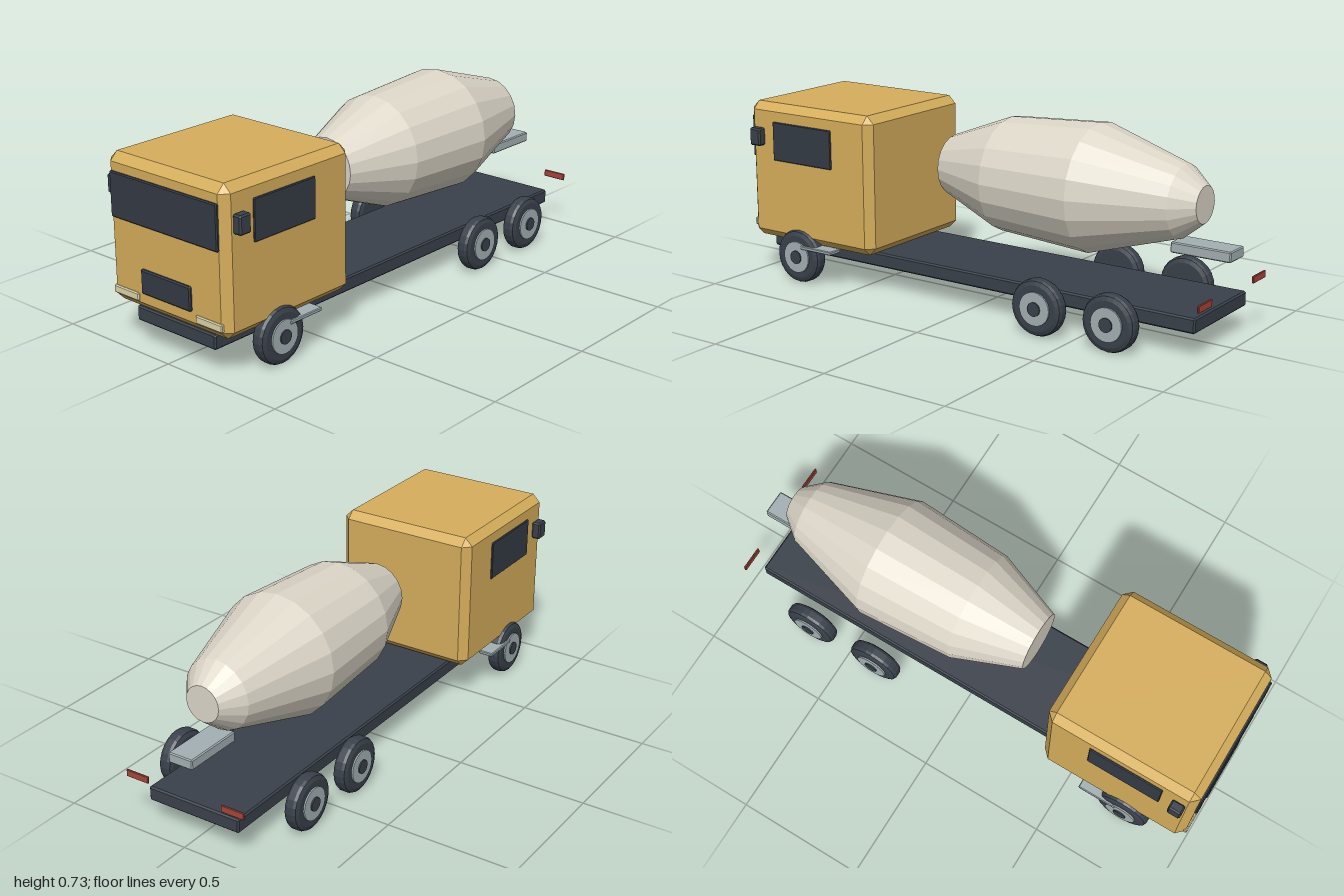
import * as THREE from 'three';
import { ConvexGeometry } from 'three/addons/geometries/ConvexGeometry.js';

const paint = (name, color) => {
  const m = new THREE.MeshStandardMaterial({ color });
  m.name = name;
  return m;
};

export function createModel() {
  const yellow = paint('cab yellow', 0xd6ae5c);
  const dark = paint('dark grey', 0x3a414b);
  const glass = paint('glass', 0x343b45);
  const cream = paint('drum cream', 0xdcd6c8);
  const steel = paint('steel', 0xa3b0b3);
  const lamp = paint('headlight', 0xddd5a8);
  const red = paint('tail light red', 0xa8453a);

  const truck = new THREE.Group();
  truck.name = 'mixerTruck';

  const add = (name, geometry, material, parent = truck) => {
    const mesh = new THREE.Mesh(geometry, material);
    mesh.name = name;
    parent.add(mesh);
    return mesh;
  };

  // Box with chamfered edges, given by its min and max on each axis
  const block = (name, material, [x0, x1], [y0, y1], [z0, z1], c) => {
    const h = [(x1 - x0) / 2, (y1 - y0) / 2, (z1 - z0) / 2];
    const points = [];
    for (const sx of [-1, 1]) for (const sy of [-1, 1]) for (const sz of [-1, 1])
      for (let axis = 0; axis < 3; axis++) {
        const [x, y, z] = h.map((v, i) => (i === axis ? v : v - c));
        points.push(new THREE.Vector3(sx * x, sy * y, sz * z));
      }
    const mesh = add(name, new ConvexGeometry(points), material);
    mesh.position.set((x0 + x1) / 2, (y0 + y1) / 2, (z0 + z1) / 2);
    return mesh;
  };

  // Same block on both sides of the truck
  const pair = (name, material, [x0, x1], y, z, c) => {
    block(name + 'Left', material, [x0, x1], y, z, c);
    block(name + 'Right', material, [-x1, -x0], y, z, c);
  };

  // Faceted turned solid about the y axis, from [radius, y] points
  const turned = (profile, sides) => {
    const g = new THREE.LatheGeometry(profile.map(p => new THREE.Vector2(...p)), sides).toNonIndexed();
    g.computeVertexNormals();
    return g;
  };

  // Chassis and cab
  block('chassis', dark, [-0.192, 0.192], [0.094, 0.15], [-0.945, 0.96], 0.006);
  block('cab', yellow, [-0.285, 0.285], [0.157, 0.697], [0.385, 0.99], 0.03);

  // Cab fittings
  block('windshield', glass, [-0.256, 0.256], [0.471, 0.635], [0.982, 0.999], 0.004);
  block('grille', glass, [-0.12, 0.12], [0.225, 0.315], [0.982, 1], 0.005);
  pair('headlight', lamp, [0.139, 0.264], [0.19, 0.22], [0.982, 0.997], 0.004);
  pair('sideWindow', glass, [0.277, 0.291], [0.475, 0.627], [0.57, 0.862], 0.003);
  pair('mirror', dark, [0.284, 0.321], [0.53, 0.599], [0.904, 0.956], 0.006);
  pair('step', steel, [0.25, 0.31], [0.142, 0.156], [0.565, 0.72], 0.003);

  // Mixing drum, lying along z
  const drum = turned([[0, -0.87], [0.068, -0.87], [0.132, -0.79], [0.238, -0.445],
    [0.215, -0.065], [0.115, 0.195], [0, 0.195]], 20);
  drum.rotateX(Math.PI / 2);
  add('drum', drum, cream).position.y = 0.495;

  // Discharge chute and tail lights
  block('chute', steel, [-0.05, 0.05], [0.319, 0.358], [-0.998, -0.765], 0.004);
  pair('tailLight', red, [0.155, 0.25], [0.193, 0.22], [-0.989, -0.981], 0.002);

  // Wheels: tyre, steel rim and dark hub cap, facing outward along +x
  const disc = (r, x0, x1) => turned([[0, x0], [r, x0], [r, x1], [0, x1]], 24).rotateZ(-Math.PI / 2);
  const tyre = turned([[0, -0.028], [0.085, -0.028], [0.1, -0.022], [0.105, -0.012],
    [0.105, 0.012], [0.1, 0.022], [0.085, 0.028], [0, 0.028]], 24).rotateZ(-Math.PI / 2);
  const rim = disc(0.062, 0, 0.034);
  const cap = disc(0.026, 0, 0.039);
  for (const [axle, z] of [['front', 0.745], ['middle', -0.37], ['rear', -0.665]])
    for (const side of [1, -1]) {
      const wheel = new THREE.Group();
      wheel.name = `${axle}Wheel${side > 0 ? 'Left' : 'Right'}`;
      add('tyre', tyre, dark, wheel);
      add('rim', rim, steel, wheel);
      add('hubCap', cap, dark, wheel);
      wheel.position.set(side * 0.273, 0.106, z);
      if (side < 0) wheel.rotation.y = Math.PI;
      truck.add(wheel);
    }

  return truck;
}
